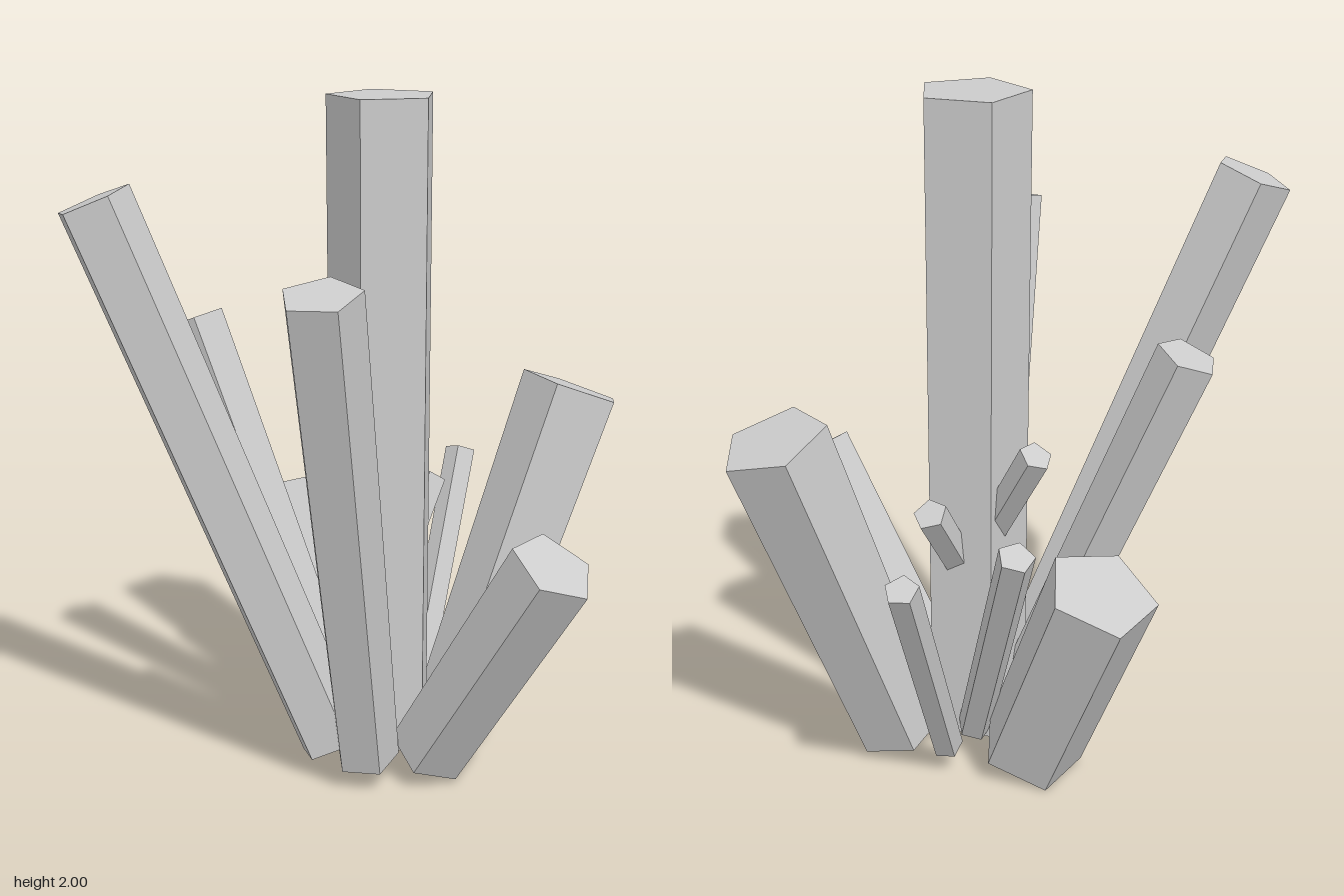
import * as THREE from 'three';

const UP = new THREE.Vector3(0, 1, 0);

// Five-sided tapering prism running from foot to tip; turn is in degrees
function crystal(name, foot, tip, radius, turn, taper) {
  const start = new THREE.Vector3(...foot);
  const axis = new THREE.Vector3(...tip).sub(start);
  const length = axis.length();
  const theta = THREE.MathUtils.degToRad(90 - turn);
  const geometry = new THREE.CylinderGeometry(radius, radius * taper, length, 5, 1, false, theta);
  geometry.translate(0, length / 2, 0);
  const material = new THREE.MeshStandardMaterial({ color: 0xcccccc, flatShading: true });
  const mesh = new THREE.Mesh(geometry, material);
  mesh.name = name;
  mesh.position.copy(start);
  mesh.quaternion.setFromUnitVectors(UP, axis.normalize());
  return mesh;
}

export function createModel() {
  const group = new THREE.Group();
  group.name = 'crystalCluster';
  group.add(
    // Large crystals
    crystal('mainCrystal', [0.04, 0.05, -0.01], [0.04, 2, -0.01], 0.165, 0, 0.95),
    crystal('rightCrystal', [0.29, 0.075, 0.02], [0.67, 1.09, 0.07], 0.16, 2, 0.84),
    crystal('tallLeftCrystal', [-0.16, 0.085, 0.03], [-0.72, 1.715, -0.34], 0.117, 15, 0.87),
    crystal('backCrystal', [0.045, 0.065, -0.3], [0.035, 0.7, -0.6], 0.166, 0, 0.95),
    // Medium crystals
    crystal('frontCrystal', [0.06, 0.08, 0.22], [0.205, 0.755, 0.635], 0.13, -4, 0.92),
    crystal('frontLeftCrystal', [-0.12, 0.08, 0.165], [-0.405, 1.54, 0.415], 0.117, 25, 0.82),
    crystal('backLeftCrystal', [-0.05, 0.08, -0.1], [-0.315, 1.3, -0.535], 0.092, -29, 0.87),
    // Small crystals
    crystal('backRightCrystal', [0.12, 0.08, -0.12], [0.242, 0.82, -0.48], 0.055, -8, 0.95),
    crystal('thinRightCrystal', [0.25, 0.08, -0.16], [0.573, 0.79, -0.406], 0.05, -8, 0.95),
    crystal('backSprig', [0.03, 0.6, -0.02], [0.023, 1, -0.286], 0.05, -27, 0.95),
    crystal('rightSprig', [0.08, 0.55, -0.02], [0.266, 0.82, -0.107], 0.051, -16, 0.95),
  );
  return group;
}
